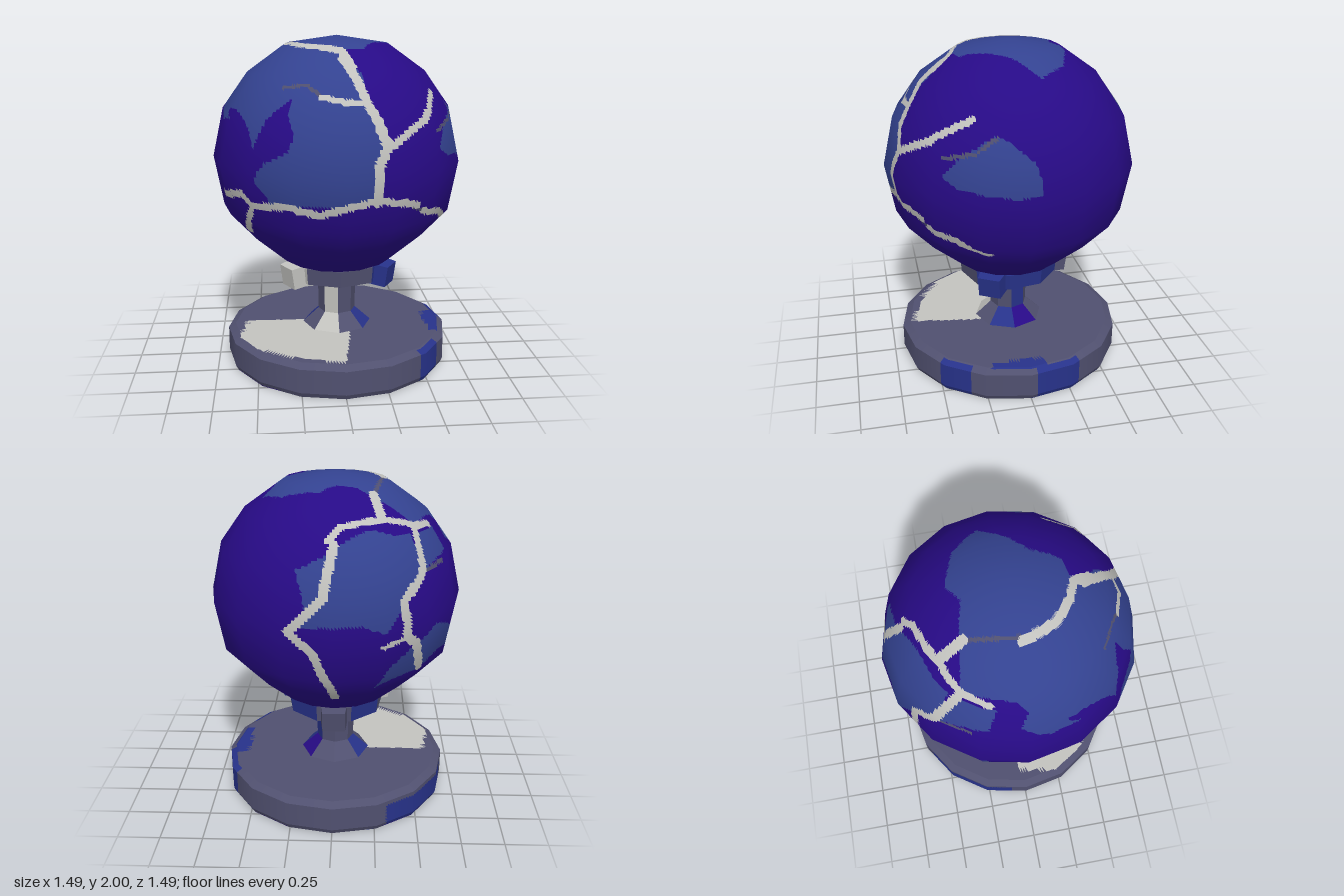
import * as THREE from 'three';

const mat = (name, color) => {
  const m = new THREE.MeshStandardMaterial({ color });
  m.name = name;
  return m;
};
const MATS = [
  mat('deep violet', 0x270a86), mat('dusk blue', 0x334290), mat('pale vein', 0xc2c2be),
  mat('slate', 0x50506f), mat('royal blue', 0x27328a),
];
const VIOLET = 0, BLUE = 1, PALE = 2, SLATE = 3, ROYAL = 4;

const C = new THREE.Vector3(0, 1.28, 0); // orb centre
const R = 0.735;
const RAD = Math.PI / 180;

// A drawing plane seen from azimuth a and elevation e; [ox, oy] is the orb centre in plane units
function plane(a, e, ox, oy, sx, sy) {
  const [sa, ca, se, ce] = [Math.sin(a * RAD), Math.cos(a * RAD), Math.sin(e * RAD), Math.cos(e * RAD)];
  const right = new THREE.Vector3(ca, 0, -sa);
  const up = new THREE.Vector3(-sa * se, ce, -ca * se);
  const out = new THREE.Vector3(sa * ce, se, ca * ce);
  return {
    depth: (d) => d.dot(out),
    to: (d) => [d.dot(right) * R / sx + ox, d.dot(up) * R / sy + oy],
    // plane point -> unit direction from the orb centre
    from([x, y]) {
      let u = (x - ox) * sx / R, v = (y - oy) * sy / R;
      const l = Math.hypot(u, v);
      if (l > 0.995) { u *= 0.995 / l; v *= 0.995 / l; }
      return new THREE.Vector3().addScaledVector(right, u).addScaledVector(up, v)
        .addScaledVector(out, Math.sqrt(1 - u * u - v * v));
    },
  };
}
const k = 1 / 153;
const F = plane(0, 0, 0, 1.28, 1, 1);
const S = plane(90, 0, 0, 1.28, -1, 1);
const T = plane(0, 90, 0, 0, 1, -1);
const BL = plane(210, 25, 686, 633, k, -k);
const BR = plane(150, -25, 1134, 634, k, -k);
// plane S runs along z to the left, so its horizontal axis is flipped by sx = -1

function inside(poly, [x, y]) {
  let hit = false;
  for (let i = 0, j = poly.length - 1; i < poly.length; j = i++) {
    const [xi, yi] = poly[i], [xj, yj] = poly[j];
    if ((yi > y) !== (yj > y) && x < (xj - xi) * (y - yi) / (yj - yi) + xi) hit = !hit;
  }
  return hit;
}

// Veins: plane, half width, colour, path
const VEINS = [
  [T, 0.027, PALE, [[-0.29, 0.02], [-0.22, 0.2], [-0.1, 0.3], [0, 0.34], [0.05, 0.45]]],
  [F, 0.028, PALE, [[0, 1.9], [0.06, 1.8], [0.12, 1.67], [0.22, 1.45], [0.17, 1.35], [0.17, 1.15]]],
  [F, 0.022, PALE, [[0.22, 1.44], [0.44, 1.57], [0.52, 1.7]]],
  [F, 0.018, PALE, [[0.12, 1.68], [0, 1.68], [-0.13, 1.71]]],
  [F, 0.022, PALE, [[-0.68, 1.11], [-0.58, 1.15], [-0.51, 1.1], [-0.3, 1.12], [-0.15, 1.08], [0, 1.13], [0.17, 1.16], [0.33, 1.13], [0.41, 1.1]]],
  [F, 0.024, PALE, [[-0.51, 1.1], [-0.53, 1], [-0.55, 0.88]]],
  [F, 0.02, PALE, [[0.44, 1.06], [0.55, 1.03], [0.61, 0.94]]],
  [BR, 0.027, PALE, [[1180, 540], [1182, 566], [1157, 588], [1175, 608], [1182, 640], [1178, 672]]],
  [BL, 0.022, PALE, [[640, 600], [652, 591], [690, 590], [720, 598], [742, 596]]],
  [BL, 0.03, PALE, [[690, 588], [694, 566]]],
  [BL, 0.028, PALE, [[720, 598], [712, 640], [692, 660], [694, 688], [706, 696], [712, 714]]],
  [BL, 0.016, PALE, [[692, 690], [672, 693]]],
  [BL, 0.012, SLATE, [[694, 566], [720, 548], [731, 540]]],
  [BL, 0.012, SLATE, [[715, 638], [742, 630]]],
  [F, 0.01, SLATE, [[-0.14, 1.72], [-0.2, 1.76], [-0.33, 1.75]]],
  [F, 0.011, SLATE, [[0.38, 1.09], [0.44, 1.07]]],
  [S, 0.011, SLATE, [[0.46, 1.5], [0.3, 1.54], [0.19, 1.62]]],
].map(([p, w, c, pts]) => ({ w: w / R, c, dirs: pts.map((q) => p.from(q)) }));

// Blue patches: plane and outline
const PATCHES = [
  [F, [[-0.55, 1.74], [-0.28, 1.73], [-0.31, 1.62], [-0.28, 1.5], [-0.32, 1.42], [-0.45, 1.35], [-0.5, 1.25], [-0.42, 1.13], [0, 1.13], [0.14, 1.18], [0.2, 1.42], [0.12, 1.66], [0.1, 1.82], [0, 1.92], [-0.35, 1.93]]],
  [T, [[0.08, -0.32], [0.3, -0.25], [0.42, -0.1], [0.2, 0.15], [0.13, 0.3], [0, 0.34], [0.05, 0.45], [0, 0.55], [-0.5, 0.52], [-0.62, 0.22], [-0.68, 0.1], [-0.55, -0.05], [-0.45, -0.33], [-0.26, -0.3], [-0.02, -0.25]]],
  [T, [[0.08, -0.76], [0.05, -0.63], [-0.2, -0.5], [-0.4, -0.44], [-0.42, -0.56], [-0.25, -0.72]]],
  [S, [[0.48, 1.4], [0.4, 1.5], [0.2, 1.63], [0.13, 1.61], [0, 1.5], [-0.04, 1.4], [-0.03, 1.33], [0.1, 1.31], [0.4, 1.35]]],
  [BL, [[612, 618], [650, 606], [712, 604], [713, 640], [690, 665], [672, 682], [650, 672], [612, 655]]],
  [BL, [[705, 697], [728, 682], [760, 685], [755, 700], [720, 712], [674, 728], [676, 714]]],
  [BL, [[722, 604], [748, 598], [752, 620], [718, 636]]],
  [BL, [[764, 588], [790, 600], [785, 614], [768, 608]]],
  [BL, [[604, 656], [640, 656], [644, 668], [612, 666]]],
];

const tmp = new THREE.Line3(), near = new THREE.Vector3();
function orbPaint(p) {
  const d = p.clone().sub(C).normalize();
  for (const { w, c, dirs } of VEINS) {
    for (let i = 0; i + 1 < dirs.length; i++) {
      tmp.set(dirs[i], dirs[i + 1]).closestPointToPoint(d, true, near);
      if (near.normalize().distanceTo(d) < w) return c;
    }
  }
  return PATCHES.some(([pl, o]) => pl.depth(d) > 0.05 && inside(o, pl.to(d))) ? BLUE : VIOLET;
}

const between = (v, a, b) => v > a && v < b;
const azimuth = (p) => (Math.atan2(p.x, p.z) / RAD + 360) % 360;

const TOP_PALE = [[-0.57, -0.03], [-0.61, 0.22], [-0.5, 0.4], [-0.3, 0.53], [0, 0.63], [0.06, 0.27], [0.08, 0.05], [-0.1, -0.02]];
const UNDER_VIOLET = [[-0.3, -0.65], [-0.3, -0.4], [-0.4, 0], [-0.37, 0.55], [-0.55, 0.45], [-0.72, 0], [-0.5, -0.5]];
const UNDER_BLUE = [[-0.2, -0.68], [-0.22, -0.4], [-0.32, 0], [-0.3, 0.6], [-0.4, 0.5], [-0.45, -0.3]];
function basePaint(p) {
  const az = azimuth(p), q = [p.x, p.z];
  if (p.y > 0.195) return inside(TOP_PALE, q) ? PALE : (p.x > 0.56 && between(az, 70, 100) ? ROYAL : SLATE);
  if (p.y < 0.005) {
    if (inside(UNDER_VIOLET, q) || Math.hypot((p.x - 0.25) / 0.26, (p.z + 0.52) / 0.1) < 1) return VIOLET;
    return inside(UNDER_BLUE, q) || (p.x > 0.45 && p.z < 0) ? ROYAL : SLATE;
  }
  return between(az, 42, 60) || between(az, 93, 117) || (between(az, 208, 262) && p.y < 0.15) ? ROYAL : SLATE;
}
function stemPaint(p) {
  const az = azimuth(p);
  if (between(az, 315, 360)) return PALE;
  if (p.y < 0.28) return between(az, 45, 90) || between(az, 225, 270) ? ROYAL : between(az, 90, 135) ? VIOLET : SLATE;
  return between(az, 90, 135) ? ROYAL : SLATE;
}
function collarPaint(p) {
  const az = azimuth(p);
  return between(az, 280, 320) ? PALE : between(az, 40, 160) || between(az, 200, 240) ? ROYAL : SLATE;
}

// Faceted lathe (profile listed from top to bottom), each facet split n x n and sorted by colour
function paintedLathe(name, profile, segs, n, paint, shading) {
  const buckets = MATS.map(() => ({ pos: [], nor: [] }));
  const at = (r, y, t) => new THREE.Vector3(r * Math.sin(t), y, r * Math.cos(t));
  for (let row = 0; row + 1 < profile.length; row++) {
    const [r0, y0] = profile[row], [r1, y1] = profile[row + 1];
    for (let s = 0; s < segs; s++) {
      const t0 = s / segs * 2 * Math.PI, t1 = (s + 1) / segs * 2 * Math.PI;
      const [a, b, c, d] = [at(r0, y0, t0), at(r0, y0, t1), at(r1, y1, t0), at(r1, y1, t1)];
      const pt = (i, j) => a.clone().lerp(b, i / n).lerp(c.clone().lerp(d, i / n), j / n);
      const normal = (p, i) => {
        if (shading === 'round') return p.clone().sub(C).normalize();
        return at(y0 - y1, r1 - r0, t0 + (t1 - t0) * i / n).normalize();
      };
      for (let i = 0; i < n; i++) for (let j = 0; j < n; j++) {
        for (const tri of [[[i, j], [i, j + 1], [i + 1, j + 1]], [[i, j], [i + 1, j + 1], [i + 1, j]]]) {
          const ps = tri.map(([u, v]) => pt(u, v));
          const mid = ps[0].clone().add(ps[1]).add(ps[2]).divideScalar(3);
          const bucket = buckets[paint(mid)];
          ps.forEach((p, q) => {
            bucket.pos.push(p.x, p.y, p.z);
            bucket.nor.push(...normal(p, tri[q][0]).toArray());
          });
        }
      }
    }
  }
  const geo = new THREE.BufferGeometry();
  let start = 0;
  buckets.forEach(({ pos }, i) => {
    if (pos.length) geo.addGroup(start, pos.length / 3, i);
    start += pos.length / 3;
  });
  geo.setAttribute('position', new THREE.Float32BufferAttribute(buckets.flatMap((q) => q.pos), 3));
  geo.setAttribute('normal', new THREE.Float32BufferAttribute(buckets.flatMap((q) => q.nor), 3));
  if (shading === 'flat') geo.computeVertexNormals();
  const mesh = new THREE.Mesh(geo, MATS);
  mesh.name = name;
  return mesh;
}

export function createModel() {
  const g = new THREE.Group();
  g.name = 'veined orb on stand';
  g.add(paintedLathe('orb', [[0, 2], [0.3, 1.955], [0.53, 1.79], [0.68, 1.58], [0.745, 1.29], [0.69, 0.99], [0.53, 0.815], [0.34, 0.65], [0.2, 0.58]], 16, 16, orbPaint, 'round'));
  g.add(paintedLathe('base', [[0, 0.2], [0.645, 0.2], [0.69, 0.175], [0.69, 0.03], [0.675, 0], [0, 0]], 16, 14, basePaint, 'smooth'));
  g.add(paintedLathe('stem', [[0.12, 0.53], [0.115, 0.29], [0.22, 0.195]], 8, 1, stemPaint, 'flat'));
  g.add(paintedLathe('collar', [[0.29, 0.67], [0.31, 0.63], [0.3, 0.53], [0.26, 0.515], [0, 0.515]], 9, 2, collarPaint, 'flat'));
  // Three claws gripping the orb, tapered towards the top
  [[60, ROYAL], [180, SLATE], [300, PALE]].forEach(([az, c]) => {
    const geo = new THREE.BoxGeometry(0.17, 0.13, 0.13);
    const p = geo.attributes.position;
    for (let i = 0; i < p.count; i++) if (p.getZ(i) > 0) p.setX(i, p.getX(i) * 0.8);
    geo.computeVertexNormals();
    const claw = new THREE.Mesh(geo, MATS[c]);
    claw.name = 'claw';
    claw.position.set(0.3 * Math.sin(az * RAD), 0.575, 0.3 * Math.cos(az * RAD));
    claw.rotation.set(0.15, az * RAD, 0, 'YXZ');
    g.add(claw);
  });
  return g;
}
